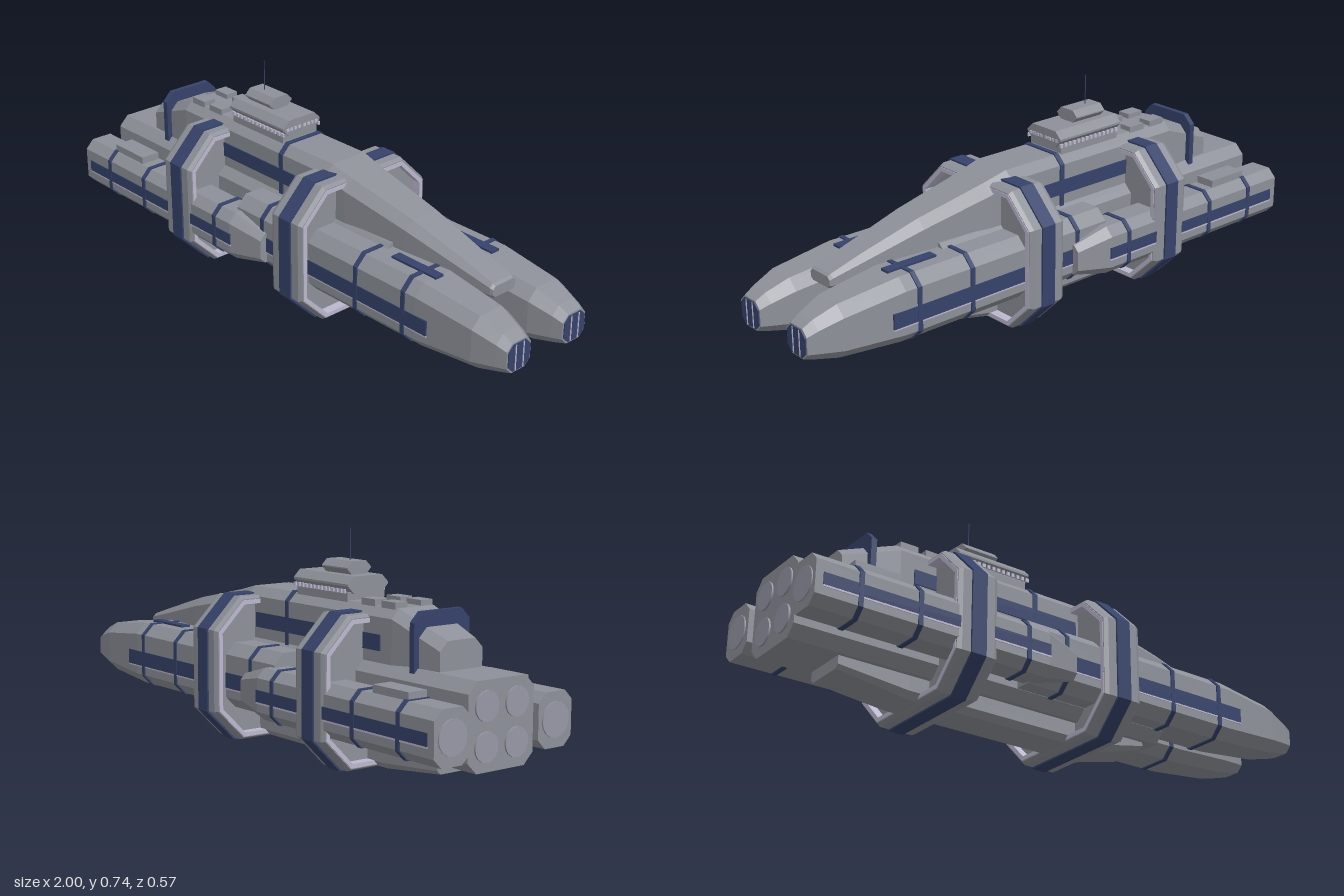
import * as THREE from 'three';

const mat = (name, color) => new THREE.MeshStandardMaterial({ name, color });

// Chamfered-rectangle cross-section at x: y from y0 to y1, half width h, chamfer c
function octagon([x, y0, y1, h, c]) {
  return [[y1, h - c], [y1 - c, h], [y0 + c, h], [y0, h - c],
    [y0, c - h], [y0 + c, -h], [y1 - c, -h], [y1, c - h]].map(([y, z]) => [x, y, z]);
}

// Faceted skin over a row of cross-sections, with optional end caps
function loft(sections, caps = true) {
  const rings = sections.map(octagon), pos = [];
  const tri = (...pts) => pts.forEach((p) => pos.push(...p));
  for (let i = 0; i < rings.length - 1; i++) {
    const r = rings[i], s = rings[i + 1];
    for (let k = 0; k < 8; k++) {
      const n = (k + 1) % 8;
      tri(r[k], r[n], s[n]);
      tri(r[k], s[n], s[k]);
    }
  }
  if (caps) {
    const a = rings[0], b = rings[rings.length - 1];
    for (let k = 1; k < 7; k++) {
      tri(a[0], a[k + 1], a[k]);
      tri(b[0], b[k], b[k + 1]);
    }
  }
  const g = new THREE.BufferGeometry();
  g.setAttribute('position', new THREE.Float32BufferAttribute(pos, 3));
  g.computeVertexNormals();
  return g;
}

export function createModel() {
  const root = new THREE.Group();
  root.name = 'spaceship';
  const grey = mat('hull grey', 0x8d9098);
  const blue = mat('navy trim', 0x35426a);
  const pale = mat('pale lavender', 0xbcb8d0);
  const nozzleMat = mat('nozzle grey', 0x9798a6);

  const add = (name, geo, m, x = 0, y = 0, z = 0, parent = root) => {
    const mesh = new THREE.Mesh(geo, m);
    mesh.name = name;
    mesh.position.set(x, y, z);
    parent.add(mesh);
    return mesh;
  };
  const box = (name, m, x0, x1, y0, y1, z, depth, parent) =>
    add(name, new THREE.BoxGeometry(x1 - x0, y1 - y0, depth), m, (x0 + x1) / 2, (y0 + y1) / 2, z, parent);
  // Painted band wrapped round a hull section
  const band = (name, x, w, [y0, y1, h, c], z = 0, parent = root, e = 0.004) => {
    const s = [y0 - e, y1 + e, h + e, c + e * 0.5];
    add(name, loft([[x - w / 2, ...s], [x + w / 2, ...s]]), blue, 0, 0, z, parent);
  };
  const nozzle = (x, y, z, r, parent) => {
    const n = add('nozzle', new THREE.CylinderGeometry(r, r, 0.012, 16), nozzleMat, x, y, z, parent);
    n.rotation.z = Math.PI / 2;
  };

  // Upper spine, main body and keel
  add('upperHull', loft([
    [-0.81, 0.25, 0.44, 0.085, 0.03], [-0.61, 0.25, 0.515, 0.1, 0.03], [0.13, 0.25, 0.515, 0.1, 0.03],
    [0.22, 0.26, 0.492, 0.1, 0.035], [0.48, 0.275, 0.437, 0.083, 0.03], [0.7, 0.288, 0.375, 0.063, 0.02],
    [0.81, 0.294, 0.342, 0.054, 0.012], [0.82, 0.298, 0.335, 0.05, 0.01],
  ]), grey);
  add('mainBody', loft([[-0.98, 0.08, 0.35, 0.13, 0.035], [0.43, 0.08, 0.35, 0.13, 0.035]]), grey);
  add('keel', loft([
    [-0.8, 0.04, 0.1, 0.08, 0.012], [-0.55, 0.01, 0.1, 0.08, 0.02],
    [0.2, 0.01, 0.1, 0.08, 0.02], [0.38, 0.055, 0.1, 0.08, 0.012],
  ]), grey);
  for (const z of [-0.06, 0.06]) for (const y of [0.155, 0.275]) nozzle(-0.98, y, z, 0.046);

  // Spine trim
  band('hullBand', -0.09, 0.018, [0.3, 0.515, 0.1, 0.03]);
  band('tailArch', -0.715, 0.02, [0.31, 0.515, 0.107, 0.03]);
  for (const s of [-1, 1]) box('hullStripe', blue, -0.56, 0.08, 0.382, 0.432, s * 0.1, 0.008);

  // Two octagonal collars with recessed faces and pale inner lips
  const inset = (x, i) => [x, i, 0.495 - i, 0.285 - i, 0.108 - 0.586 * i];
  for (const xc of [-0.435, 0.135]) {
    const collar = new THREE.Group();
    collar.name = 'collar';
    root.add(collar);
    const a = xc - 0.073, b = xc + 0.073;
    add('collarBody', loft([
      inset(a + 0.03, 0.03), inset(a, 0.03), inset(a, 0.014), inset(a + 0.014, 0.006),
      inset(b - 0.014, 0.006), inset(b, 0.014), inset(b, 0.03), inset(b - 0.03, 0.03),
    ]), grey, 0, 0, 0, collar);
    add('collarBand', loft([inset(xc - 0.027, 0), inset(xc + 0.027, 0)]), blue, 0, 0, 0, collar);
    add('frontLip', loft([inset(b, 0.017), inset(b + 0.002, 0.017), inset(b + 0.002, 0.031),
      inset(b - 0.03, 0.031)], false), pale, 0, 0, 0, collar);
    add('rearLip', loft([inset(a + 0.03, 0.031), inset(a - 0.002, 0.031), inset(a - 0.002, 0.017),
      inset(a, 0.017)], false), pale, 0, 0, 0, collar);
  }

  for (const s of [-1, 1]) {
    // Forward prong
    const prong = new THREE.Group();
    prong.name = 'prong';
    prong.position.z = s * 0.125;
    root.add(prong);
    const section = [0.116, 0.335, 0.095, 0.037];
    add('prongHull', loft([
      [-0.18, ...section], [0.66, ...section], [0.88, 0.133, 0.31, 0.081, 0.035],
      [0.96, 0.15, 0.28, 0.062, 0.028], [0.995, 0.16, 0.26, 0.052, 0.022],
    ]), grey, 0, 0, 0, prong);
    add('prongTip', loft([[0.99, 0.165, 0.255, 0.047, 0.02], [0.998, 0.165, 0.255, 0.047, 0.02]]), blue, 0, 0, 0, prong);
    for (const z of [-0.017, 0.017]) box('tipStripe', pale, 0.994, 1, 0.167, 0.253, z, 0.004, prong);
    for (const x of [-0.05, 0.4, 0.61]) band('prongBand', x, 0.016, section, 0, prong);
    box('prongStripe', blue, -0.05, 0.71, 0.186, 0.237, s * 0.094, 0.008, prong);
    box('prongPinstripe', pale, -0.05, 0.71, 0.181, 0.186, s * 0.094, 0.007, prong);
    box('deckPanel', blue, 0.48, 0.67, 0.334, 0.342, 0, 0.034, prong);

    // Rear engine pod
    const pod = new THREE.Group();
    pod.name = 'enginePod';
    pod.position.z = s * 0.205;
    root.add(pod);
    const podSection = [0.12, 0.29, 0.069, 0.03];
    add('podHull', loft([[-0.996, ...podSection], [-0.16, ...podSection], [-0.03, 0.147, 0.253, 0.042, 0.02]]),
      grey, 0, 0, 0, pod);
    for (const x of [-0.845, -0.64, -0.24]) band('podBand', x, 0.016, podSection, 0, pod);
    box('podStripe', blue, -0.97, -0.155, 0.183, 0.222, s * 0.068, 0.008, pod);
    box('podPinstripe', pale, -0.97, -0.155, 0.177, 0.183, s * 0.068, 0.007, pod);
    box('podHousing', grey, -0.85, -0.69, 0.28, 0.315, 0, 0.07, pod);
    nozzle(-0.994, 0.205, 0, 0.055, pod);

    // Roof equipment boxes
    for (const x of [-0.565, -0.47]) box('roofBox', grey, x - 0.033, x + 0.033, 0.505, 0.532, s * 0.051, 0.047);
  }

  // Bridge tower
  box('bridgeBase', grey, -0.37, -0.11, 0.51, 0.54, 0, 0.15);
  add('bridge', loft([[-0.38, 0.535, 0.59, 0.081, 0.024], [-0.1, 0.535, 0.59, 0.081, 0.024]]), grey);
  add('bridgeCabin', loft([[-0.335, 0.588, 0.632, 0.048, 0.02], [-0.205, 0.588, 0.632, 0.048, 0.02]]), grey);
  for (const s of [-1, 1]) {
    for (let i = 0; i < 4; i++) box('frontWindow', pale, -0.103, -0.097, 0.553, 0.563, s * (0.012 + i * 0.017), 0.011);
    for (let i = 0; i < 14; i++) {
      const x = -0.365 + i * 0.0195;
      box('sideWindow', pale, x, x + 0.011, 0.537, 0.55, s * 0.08, 0.006);
    }
  }
  add('antenna', new THREE.CylinderGeometry(0.0015, 0.002, 0.11, 6), blue, -0.29, 0.68, 0);

  return root;
}
